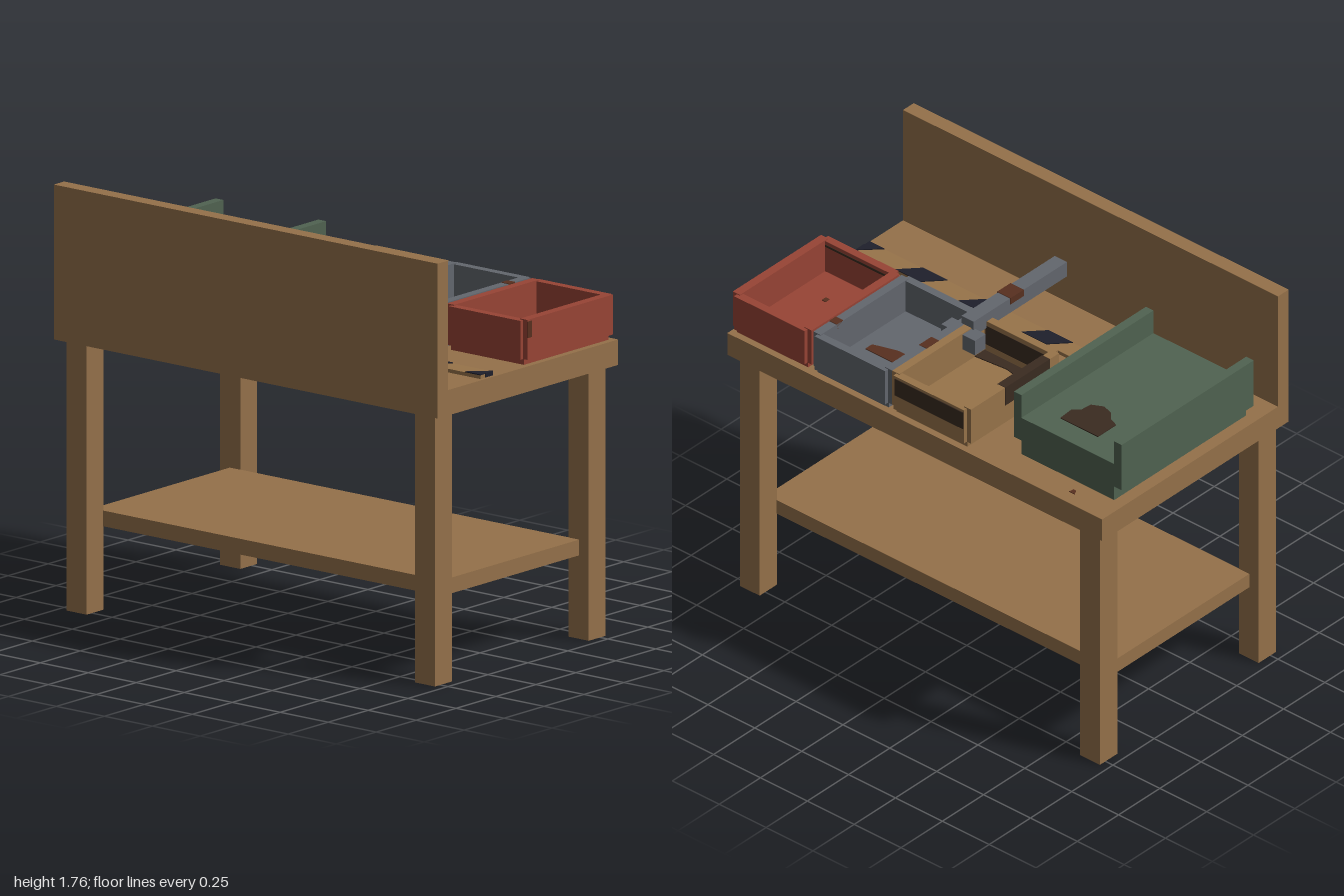
import * as THREE from 'three';

const mat = (name, color) => {
  const m = new THREE.MeshStandardMaterial({ color });
  m.name = name;
  return m;
};

export function createModel() {
  const wood = mat('wood', 0x95714a);
  const tan = mat('tan', 0x98744a);
  const green = mat('green', 0x506351);
  const grey = mat('grey', 0x63676e);
  const red = mat('red', 0x984435);
  const rust = mat('rust', 0x58301f);
  const grime = mat('grime', 0x3a2b21);
  const navy = mat('navy', 0x1e1f2b);

  const root = new THREE.Group();
  root.name = 'workbench';

  // Box given by its minimum and maximum along each axis
  const box = (name, m, x0, x1, y0, y1, z0, z1, parent = root) => {
    const mesh = new THREE.Mesh(new THREE.BoxGeometry(x1 - x0, y1 - y0, z1 - z0), m);
    mesh.position.set((x0 + x1) / 2, (y0 + y1) / 2, (z0 + z1) / 2);
    mesh.name = name;
    parent.add(mesh);
    return mesh;
  };

  // Thin plate lying flat at height y, outlined by [x, z] points
  const flatPlate = (name, m, y, pts, depth = 0.004) => {
    const shape = new THREE.Shape(pts.map(([x, z]) => new THREE.Vector2(x, -z)));
    const geo = new THREE.ExtrudeGeometry(shape, { depth, bevelEnabled: false });
    geo.rotateX(-Math.PI / 2);
    const mesh = new THREE.Mesh(geo, m);
    mesh.position.y = y;
    mesh.name = name;
    root.add(mesh);
  };

  // Table
  box('tableTop', wood, -1, 1, 1.12, 1.225, -0.565, 0.565);
  box('backBoard', wood, -1, 1, 1.225, 1.76, 0.5, 0.565);
  box('shelf', wood, -0.91, 0.91, 0.345, 0.41, -0.43, 0.43);
  for (const sx of [-1, 1]) {
    for (const sz of [-1, 1]) {
      const leg = box('leg', wood, -0.0525, 0.0525, 0, 1.12, -0.0525, 0.0525);
      leg.position.x = sx * 0.9075;
      leg.position.z = sz * 0.481;
    }
  }

  // Tray: solid base with a raised rail on each side
  const tray = new THREE.Group();
  tray.name = 'tray';
  root.add(tray);
  box('trayBase', green, -0.945, -0.45, 1.225, 1.4, -0.43, 0.37, tray);
  box('trayRail', green, -0.985, -0.945, 1.29, 1.51, -0.43, 0.37, tray);
  box('trayRail', green, -0.45, -0.41, 1.29, 1.51, -0.43, 0.37, tray);

  // Open bins: floor plus four walls that overlap into notched corners
  const makeBin = (name, m, cx) => {
    const bin = new THREE.Group();
    bin.name = name;
    bin.position.set(cx, 0, -0.27);
    root.add(bin);
    box('binFloor', m, -0.19, 0.19, 1.226, 1.265, -0.265, 0.265, bin);
    for (const s of [-1, 1]) {
      const side = box('binSide', m, -0.019, 0.019, 1.25, 1.415, -0.267, 0.267, bin);
      side.position.x = s * 0.191;
      const end = box('binEnd', m, -0.188, 0.188, 1.25, 1.411, -0.018, 0.018, bin);
      end.position.z = s * 0.267;
    }
  };
  makeBin('tanBin', tan, -0.065);
  makeBin('greyBin', grey, 0.355);
  makeBin('redBin', red, 0.785);

  // Hammer resting across the bins
  const hammer = new THREE.Group();
  hammer.name = 'hammer';
  root.add(hammer);
  box('hammerHandle', grey, 0.095, 0.16, 1.38, 1.45, -0.1, 0.465, hammer);
  box('hammerHead', grey, 0.04, 0.22, 1.34, 1.41, -0.155, -0.09, hammer);
  box('handleRust', rust, 0.092, 0.163, 1.422, 1.453, 0.12, 0.2, hammer);
  box('handleSideRust', rust, 0.16, 0.163, 1.424, 1.444, 0.05, 0.2, hammer);

  // Hazard strip with slanted dark stripes, clipped at both ends
  box('hazardStrip', tan, -0.24, 0.985, 1.225, 1.24, 0.2, 0.28);
  flatPlate('hazardStripe', navy, 1.24, [[-0.24, 0.2], [-0.205, 0.2], [-0.24, 0.235]]);
  for (let i = 0; i < 3; i++) {
    const x = -0.1 + i * 0.335;
    flatPlate('hazardStripe', navy, 1.24,
      [[x, 0.28], [x + 0.13, 0.28], [x + 0.205, 0.2], [x + 0.075, 0.2]]);
  }
  flatPlate('hazardStripe', navy, 1.24, [[0.905, 0.28], [0.985, 0.28], [0.985, 0.2]]);
  box('stripEnd', navy, 0.985, 0.988, 1.226, 1.244, 0.205, 0.25);

  // Worn patches on flat surfaces
  flatPlate('trayStain', grime, 1.4, [[-0.77, -0.33], [-0.57, -0.33], [-0.565, -0.26],
    [-0.595, -0.23], [-0.6, -0.18], [-0.65, -0.155], [-0.7, -0.17], [-0.73, -0.205],
    [-0.77, -0.22]]);
  flatPlate('tableStain', rust, 1.225,
    [[-0.8, -0.505], [-0.77, -0.505], [-0.775, -0.48], [-0.79, -0.485]], 0.002);
  flatPlate('greyBinFloorRust', rust, 1.265, [[0.183, -0.33], [0.47, -0.33], [0.47, -0.29],
    [0.41, -0.27], [0.36, -0.255], [0.183, -0.255]]);
  box('greyBinRimRust', rust, 0.144, 0.184, 1.39, 1.417, -0.33, -0.255);
  box('greyBinRimRust', rust, 0.527, 0.566, 1.38, 1.417, -0.44, -0.4);
  flatPlate('tanBinFloorGrime', grime, 1.265, [[-0.237, -0.085], [-0.13, -0.08],
    [-0.05, -0.065], [0.107, -0.08], [0.107, -0.021], [-0.237, -0.021]]);

  // Grime on the walls of the tan bin
  box('tanBinSideGrime', grime, -0.277, -0.235, 1.33, 1.417, -0.33, -0.06);
  box('tanBinFrontGrime', grime, -0.23, 0.1, 1.3, 1.39, -0.023, -0.019);
  box('tanBinBackGrime', grime, -0.25, 0.115, 1.32, 1.4, -0.558, -0.555);
  box('tanBinInnerGrime', grime, -0.12, 0.09, 1.32, 1.39, -0.521, -0.518);

  // Rust and a small chip on the red bin
  box('redBinRust', rust, 0.995, 0.997, 1.34, 1.408, -0.03, -0.003);
  box('redBinChip', rust, 0.81, 0.83, 1.264, 1.268, -0.185, -0.16);
  box('redBinRimRust', grime, 0.6, 0.97, 1.385, 1.395, -0.023, -0.02);

  return root;
}
